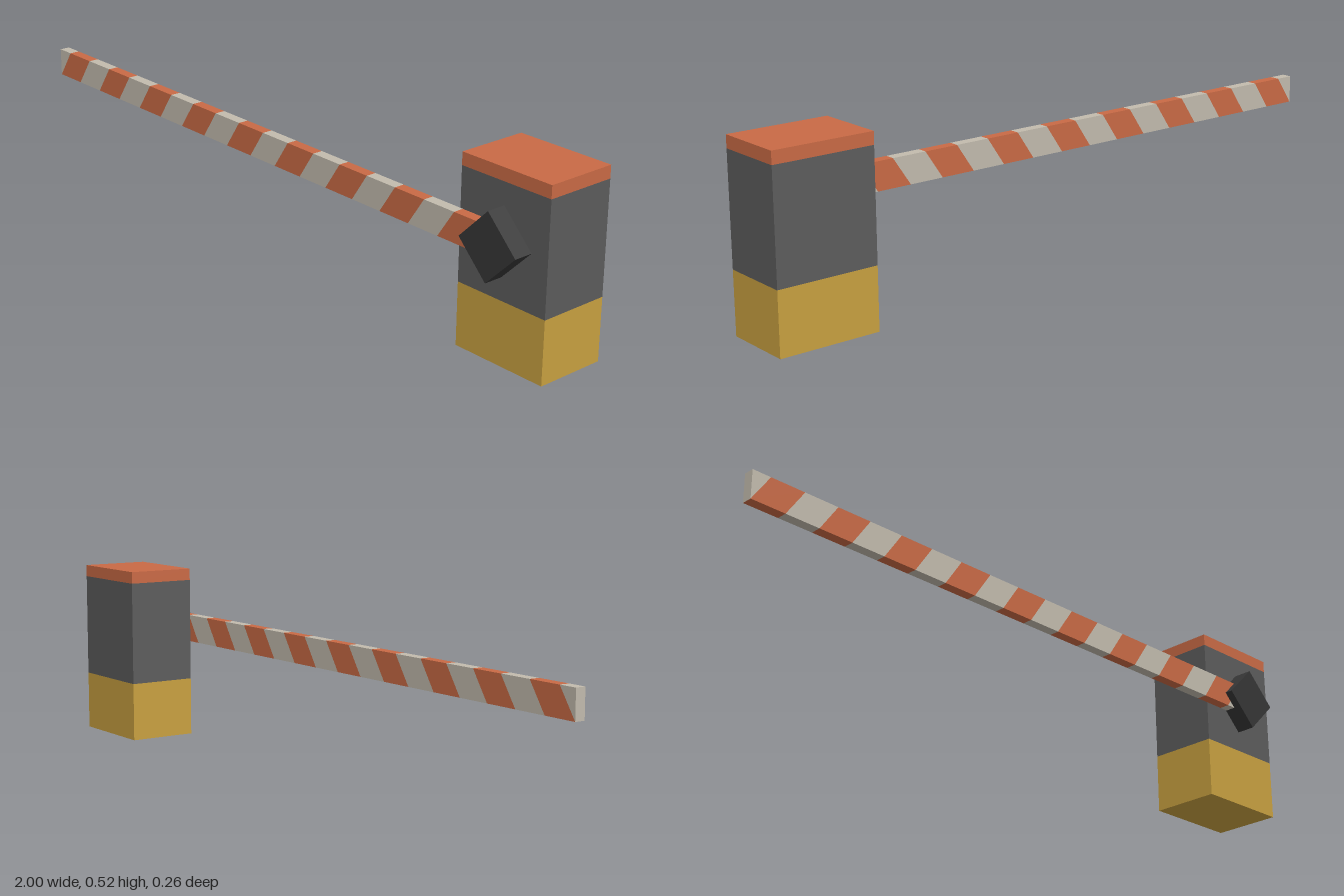
import * as THREE from 'three';

const material = (name, color) => {
  const m = new THREE.MeshStandardMaterial({ color });
  m.name = name;
  return m;
};

export function createModel() {
  const orange = material('orange', 0xc96a45);
  const grey = material('cabinetGrey', 0x5c5c5c);
  const yellow = material('yellow', 0xc8a040);
  const pale = material('paleGrey', 0xc2bbad);
  const dark = material('darkGrey', 0x363636);

  const model = new THREE.Group();
  model.name = 'barrierGate';
  const add = (parent, name, geometry, mat) => {
    const mesh = new THREE.Mesh(geometry, mat);
    mesh.name = name;
    parent.add(mesh);
    return mesh;
  };

  // Cabinet: three stacked colour bands
  const cabinet = new THREE.Group();
  cabinet.name = 'cabinet';
  model.add(cabinet);
  for (const [name, y0, y1, mat] of [
    ['cabinetBase', 0, 0.174, yellow],
    ['cabinetBody', 0.174, 0.481, grey],
    ['cabinetTop', 0.481, 0.516, orange],
  ]) {
    add(cabinet, name, new THREE.BoxGeometry(0.288, y1 - y0, 0.204), mat)
      .position.set(0.856, (y0 + y1) / 2, -0.027);
  }

  // Pivot hub: a square block standing on its corner
  const side = 0.093 * Math.SQRT2;
  const hub = add(model, 'pivotHub', new THREE.BoxGeometry(side, side, 0.055), dark);
  hub.position.set(0.855, 0.328, 0.1025);
  hub.rotation.z = Math.PI / 4;

  // Arm: slanted segments in alternating colours, cut square at both ends
  const arm = new THREE.Group();
  arm.name = 'barrierArm';
  model.add(arm);
  const left = -1, right = 0.855, bottom = 0.29, top = 0.371;
  const slant = 0.055, width = 0.1042;
  const clip = (x) => Math.min(right, Math.max(left, x));
  for (let i = -1; i < 18; i++) {
    const x0 = left + i * width, x1 = x0 + width;
    const corners = [
      [clip(x0), bottom], [clip(x1), bottom],
      [clip(x1 + slant), top], [clip(x0 + slant), top],
    ].filter(([x, y], k, all) => {
      const [px, py] = all[(k + 3) % 4];
      return Math.hypot(x - px, y - py) > 1e-6;
    });
    if (corners.length < 3) continue;
    const shape = new THREE.Shape(corners.map(([x, y]) => new THREE.Vector2(x, y)));
    const geometry = new THREE.ExtrudeGeometry(shape, { depth: 0.03, bevelEnabled: false });
    const isOrange = i % 2 === 0;
    add(arm, isOrange ? 'armOrangeStripe' : 'armPaleStripe', geometry, isOrange ? orange : pale)
      .position.z = 0.077;
  }

  return model;
}
